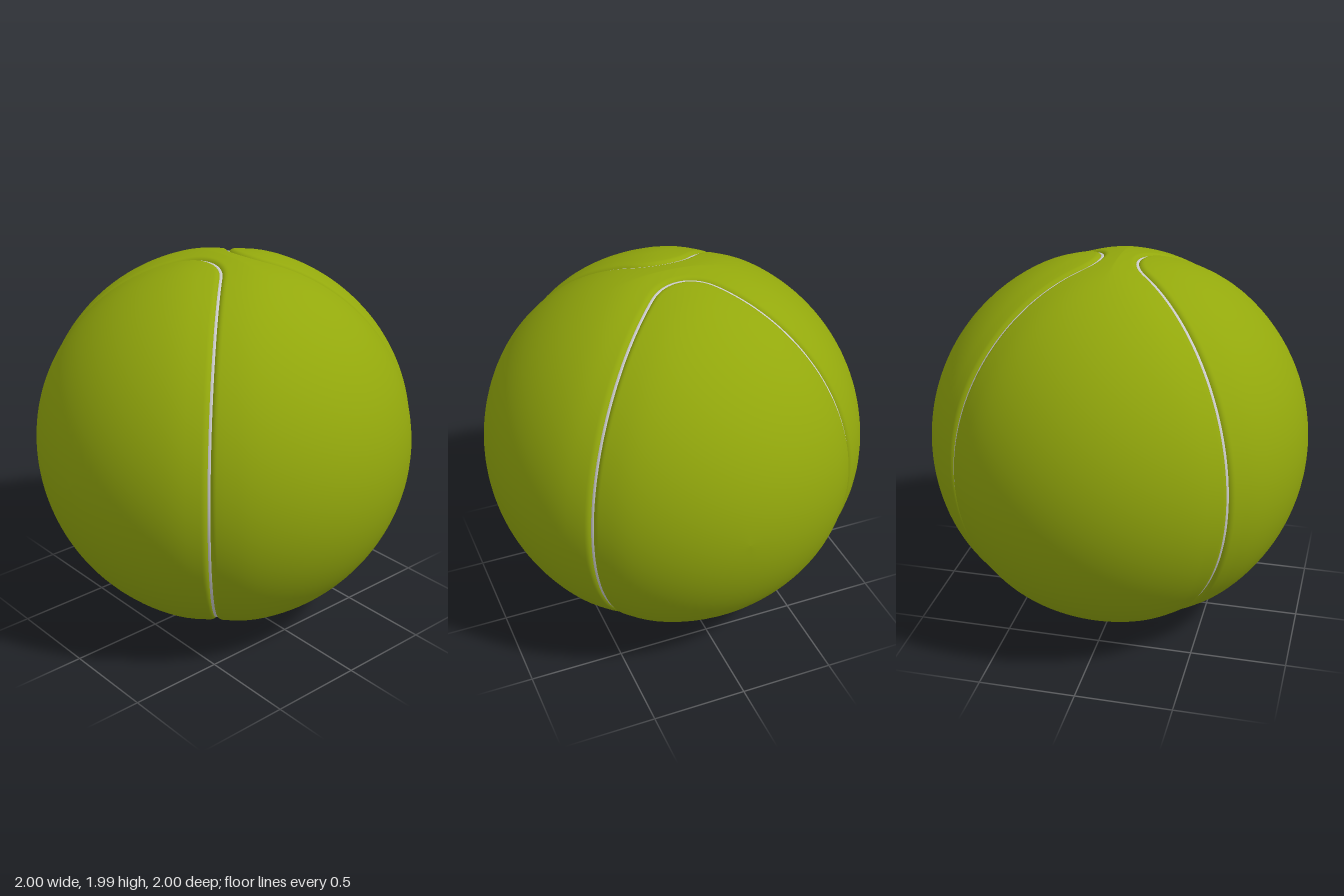
import * as THREE from 'three';

const N = 240;              // samples along each seam loop
const CENTRE_Y = 0.994;
const FILLET = 0.24;        // radius of the seam's turn near the poles
const LIP = 0.035;          // rounding of the felt into the groove

const felt = new THREE.MeshStandardMaterial({ color: 0x93a80c });
const rubber = new THREE.MeshStandardMaterial({ color: 0xcccccc });

// Closed seam on the unit sphere around the front panel: two diagonal
// meridians joined by a rounded turn over the top and under the bottom.
function seamPoints() {
  const quarter = [];
  const polar = Math.asin(FILLET);
  for (let i = 0; i < 16; i++) {
    const a = (i / 16) * (Math.PI / 2 - polar);
    const h = Math.cos(a) * Math.SQRT1_2;
    quarter.push([h, Math.sin(a), h]);
  }
  for (let i = 0; i <= 6; i++) {
    const a = (Math.PI / 4) * (1 - i / 6);
    const x = FILLET * Math.sin(a);
    const z = FILLET * (Math.SQRT2 - Math.cos(a));
    quarter.push([x, Math.sqrt(1 - x * x - z * z), z]);
  }
  const back = quarter.slice(0, -1).reverse();
  const top = [...quarter, ...back.map(([x, y, z]) => [-x, y, z])];
  const bottom = top.slice(1, -1).map(([x, y, z]) => [-x, -y, z]);
  const curve = new THREE.CatmullRomCurve3(
    [...top, ...bottom].map((p) => new THREE.Vector3(...p)), true);
  curve.arcLengthDivisions = 2000;
  return curve.getSpacedPoints(N).slice(0, N).map((p) => p.normalize());
}

const seam = seamPoints();
const mirrorZ = (p) => new THREE.Vector3(p.x, p.y, -p.z);

function slerp(a, b, k) {
  const angle = a.angleTo(b);
  if (angle < 1e-6) return b.clone();
  const s = Math.sin(angle);
  return a.clone().multiplyScalar(Math.sin((1 - k) * angle) / s)
    .addScaledVector(b, Math.sin(k * angle) / s);
}

// Felt height: a gentle dip towards the seam, then a rounded lip
function feltRadius(p) {
  const q = new THREE.Vector3(p.x, p.y, Math.abs(p.z));
  let d2 = Infinity;
  for (const s of seam) d2 = Math.min(d2, s.distanceToSquared(q));
  const d = Math.sqrt(d2);
  let r = 1 - 0.012 * Math.exp(-((d / 0.12) ** 2));
  if (d < LIP) r -= LIP - Math.sqrt(LIP * LIP - (LIP - d) ** 2);
  return r;
}

// Row of points at a given distance from the seam, positive into the front panel
function offsetRow(d) {
  return seam.map((p, j) => {
    const tangent = seam[(j + 1) % N].clone().sub(seam[(j + N - 1) % N]);
    const side = p.clone().cross(tangent).normalize();
    return p.clone().multiplyScalar(Math.cos(d)).addScaledVector(side, Math.sin(d));
  });
}

// Skin closed rows of directions into a panel
function panelGeometry(rows, flip) {
  const positions = [];
  const index = [];
  for (const row of rows) {
    for (const p of row) {
      const r = feltRadius(p);
      positions.push(p.x * r, p.y * r, p.z * r);
    }
  }
  for (let i = 0; i < rows.length - 1; i++) {
    for (let j = 0; j < N; j++) {
      const a = i * N + j;
      const b = i * N + ((j + 1) % N);
      const c = a + N;
      const d = b + N;
      if (flip) index.push(a, c, b, b, c, d);
      else index.push(a, b, c, b, d, c);
    }
  }
  const geometry = new THREE.BufferGeometry();
  geometry.setAttribute('position', new THREE.Float32BufferAttribute(positions, 3));
  geometry.setIndex(index);
  geometry.computeVertexNormals();
  return geometry;
}

export function createModel() {
  const ball = new THREE.Group();
  ball.name = 'ball';

  const add = (name, geometry, material, turn = 0) => {
    const mesh = new THREE.Mesh(geometry, material);
    mesh.name = name;
    mesh.position.y = CENTRE_Y;
    mesh.rotation.y = turn;
    ball.add(mesh);
  };

  const offsets = [0, 0.002, 0.005, 0.01, 0.016, 0.022, 0.029, 0.037, 0.055, 0.075];

  // Front and back panels, closing on their middle
  const lensRows = offsets.map((d) => offsetRow(d));
  const lensEdge = lensRows[lensRows.length - 1];
  const middle = new THREE.Vector3(0, 0, 1);
  for (let i = 1; i <= 20; i++) lensRows.push(lensEdge.map((p) => slerp(p, middle, i / 20)));
  const lens = panelGeometry(lensRows, false);
  add('frontPanel', lens, felt);
  add('backPanel', lens, felt, Math.PI);

  // Band running round both sides and across the top and bottom
  const edgeRows = offsets.map((d) => offsetRow(-d));
  const bandEdge = edgeRows[edgeRows.length - 1];
  const bandRows = [...edgeRows];
  for (let i = 1; i < 24; i++) bandRows.push(bandEdge.map((p) => slerp(p, mirrorZ(p), i / 24)));
  for (const row of [...edgeRows].reverse()) bandRows.push(row.map(mirrorZ));
  add('sideBand', panelGeometry(bandRows, true), felt);

  // Rubber seams lying in the grooves
  const path = new THREE.CatmullRomCurve3(
    seam.map((p) => p.clone().multiplyScalar(0.957)), true);
  const tube = new THREE.TubeGeometry(path, N, 0.019, 12, true);
  add('frontSeam', tube, rubber);
  add('backSeam', tube, rubber, Math.PI);

  return ball;
}
